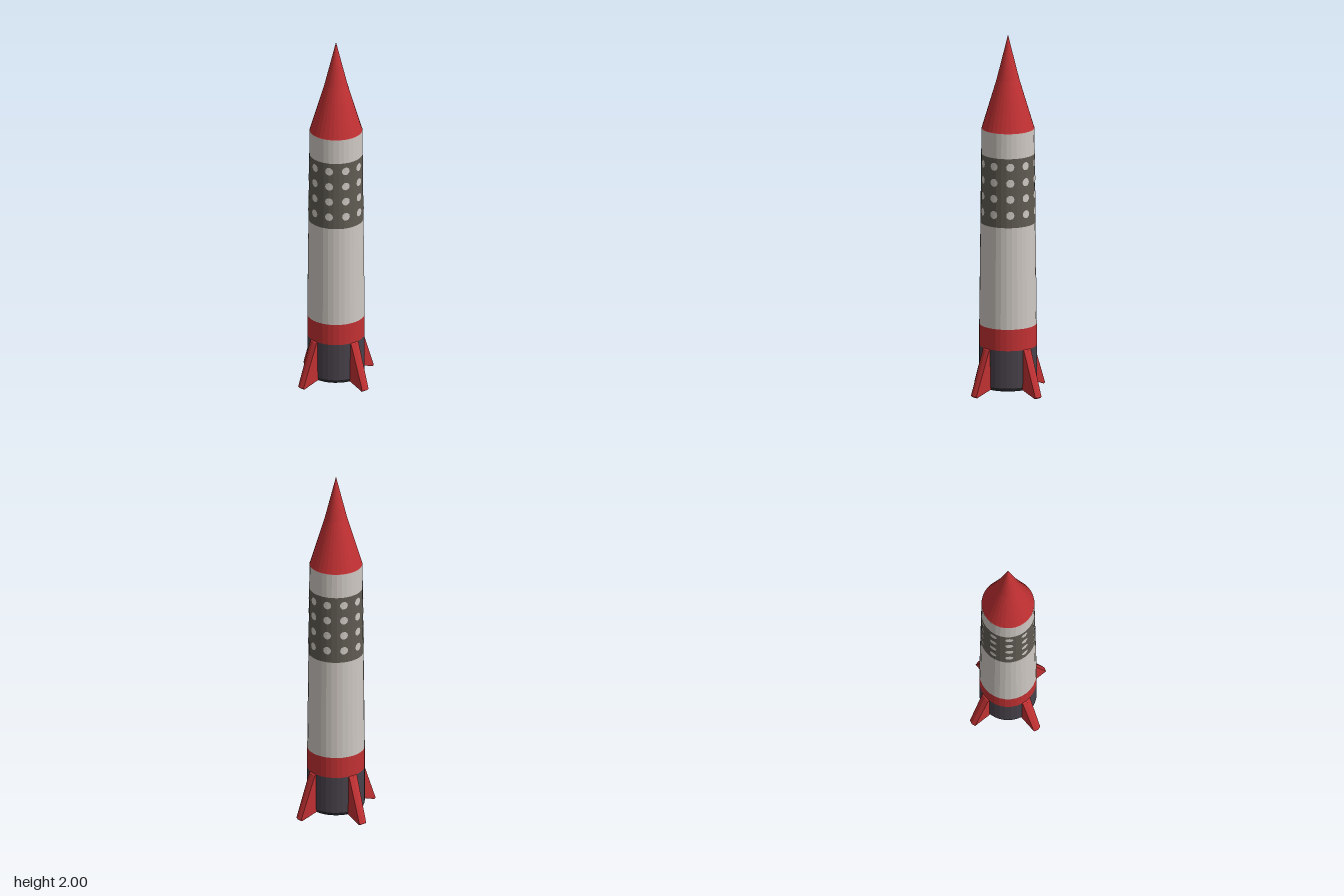
import * as THREE from 'three';
import { ConvexGeometry } from 'three/addons/geometries/ConvexGeometry.js';

const SIDES = 32;

function material(name, color, extra = {}) {
  const m = new THREE.MeshStandardMaterial({ color, flatShading: true, ...extra });
  m.name = name;
  return m;
}

// Slightly tapering hull radius at height y
const hullRadius = (y) => 0.157 - 0.0125 * THREE.MathUtils.clamp((y - 0.38) / 1.1, 0, 1);

export function createModel() {
  const red = material('red paint', 0xc23133);
  const white = material('warm white paint', 0xcec8c2);
  const grey = material('olive grey paint', 0x605c53);
  const dark = material('dark metal', 0x48424a);
  const black = material('black rim', 0x2b292d);

  const model = new THREE.Group();
  model.name = 'rocket';

  const add = (name, geometry, mat, parent = model) => {
    const mesh = new THREE.Mesh(geometry, mat);
    mesh.name = name;
    parent.add(mesh);
    return mesh;
  };
  const lathe = (points) =>
    new THREE.LatheGeometry(points.map(([r, y]) => new THREE.Vector2(r, y)), SIDES);

  // Hull sections, stacked from the bottom up
  const sections = [
    ['engineSection', 0.05, 0.26, dark],
    ['lowerRedBand', 0.26, 0.38, red],
    ['lowerHull', 0.38, 0.95, white],
    ['windowBand', 0.95, 1.337, grey],
    ['upperHull', 1.337, 1.477, white],
  ];
  for (const [name, y0, y1, mat] of sections) {
    add(name, lathe([[hullRadius(y0), y0], [hullRadius(y1), y1]]), mat);
  }

  // Nose with a small shoulder and a slight knee
  add('noseCone', lathe([[0.1445, 1.477], [0.143, 1.48], [0.062, 1.75], [0, 2]]), red);

  // Engine opening: bevelled rim and a shallow hollow
  add('engineRim', lathe([[0.136, 0.032], [0.15, 0.032], [0.157, 0.05]]), black);
  add('engineHollow', lathe([[0, 0.062], [0.136, 0.032]]), dark);

  // Round windows, bent to follow the hull
  const windows = new THREE.Group();
  windows.name = 'windows';
  model.add(windows);
  const rows = [1.02, 1.11, 1.2, 1.29];
  for (const y of rows) {
    const geometry = new THREE.CircleGeometry(0.0225, 12);
    const p = geometry.attributes.position;
    for (let i = 0; i < p.count; i++) {
      const r = hullRadius(y + p.getY(i)) + 0.0015;
      const a = p.getX(i) / r;
      p.setXYZ(i, r * Math.sin(a), y + p.getY(i), r * Math.cos(a));
    }
    geometry.computeVertexNormals();
    for (let c = 0; c < 10; c++) {
      add('window', geometry, white, windows).rotation.y = THREE.MathUtils.degToRad(36 * c - 0.7);
    }
  }

  // Four swept fins with a ridged outer edge
  const finPoints = [new THREE.Vector3(0.166, 0.255, 0), new THREE.Vector3(0.257, 0.008, 0)];
  for (const s of [-1, 1]) {
    for (const [x, y, z] of [
      [0.14, 0.27, 0.028], [0.16, 0.255, 0.026], [0.14, 0.04, 0.031],
      [0.25, 0.008, 0.022], [0.243, 0, 0.02],
    ]) finPoints.push(new THREE.Vector3(x, y, s * z));
  }
  const finGeometry = new ConvexGeometry(finPoints);
  for (let i = 0; i < 4; i++) {
    add('fin', finGeometry, red).rotation.y = (i * Math.PI) / 2;
  }

  return model;
}
